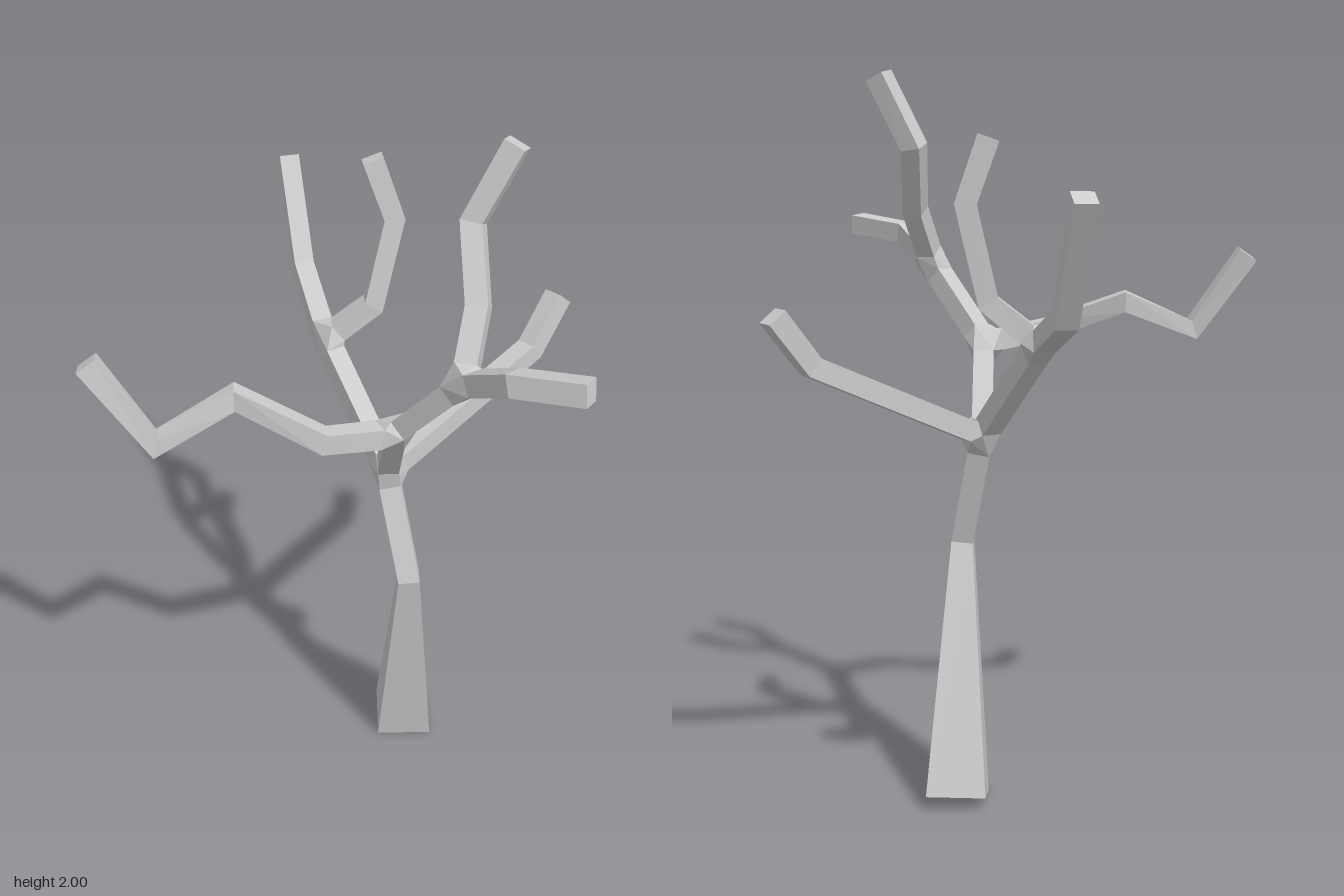
import * as THREE from 'three';
import { ConvexGeometry } from 'three/addons/geometries/ConvexGeometry.js';

const V = (p) => new THREE.Vector3(...p);
const material = new THREE.MeshStandardMaterial({ color: 0xcccccc, flatShading: true });
const JOINT_GAP = 0.045;
const R = 0.028;

// Forks of the tree
const forks = {
  trunkFork: [0.08, 1.01, 0.03],
  backFork: [0.07, 1.28, -0.275],
  frontFork: [-0.015, 1.25, 0.2],
  upperFork: [0.055, 1.47, 0.39],
};

// Limbs: start fork, bends, end fork, half widths (one value or one per point)
const limbs = [
  { name: 'trunk', path: [[0.18, 0.02, -0.01], [0.088, 0.7, 0.135]], to: 'trunkFork', radii: [0.081, 0.03, 0.03], side: [0.13, 0.04, 0.09] },
  { name: 'leftBranch', from: 'trunkFork', path: [[0.58, 1.225, 0], [0.685, 1.355, -0.02]] },
  { name: 'backBough', from: 'trunkFork', path: [], to: 'backFork' },
  { name: 'backUprightBranch', from: 'backFork', path: [[0.185, 1.385, -0.21], [0.245, 1.63, -0.203], [0.2, 1.79, -0.24]] },
  { name: 'backOuterBranch', from: 'backFork', path: [[0.165, 1.36, -0.555], [0.212, 1.635, -0.712]] },
  { name: 'frontBough', from: 'trunkFork', path: [], to: 'frontFork' },
  { name: 'rightBranch', from: 'frontFork', path: [[-0.21, 1.285, 0.18], [-0.36, 1.368, 0], [-0.57, 1.285, -0.03], [-0.685, 1.5, -0.13]] },
  { name: 'upperBough', from: 'frontFork', path: [], to: 'upperFork' },
  { name: 'frontOuterBranch', from: 'upperFork', path: [[0.06, 1.56, 0.57], [0.147, 1.587, 0.73]] },
  { name: 'topBranch', from: 'upperFork', path: [[0.14, 1.62, 0.32], [0.188, 1.79, 0.22], [0.272, 1.98, 0.263]] },
];

// Square sections carried along a bent path without twisting
function squareSections(points, radii, side) {
  const dirs = points.slice(1).map((p, i) => p.clone().sub(points[i]).normalize());
  const u = side.clone().projectOnPlane(dirs[0]).normalize();
  let last = dirs[0];
  return points.map((p, i) => {
    const t = dirs[Math.max(i - 1, 0)].clone().add(dirs[Math.min(i, dirs.length - 1)]).normalize();
    u.applyQuaternion(new THREE.Quaternion().setFromUnitVectors(last, t));
    last = t;
    const v = t.clone().cross(u);
    return [[1, 1], [-1, 1], [-1, -1], [1, -1]].map(([a, b]) =>
      p.clone().addScaledVector(u, a * radii[i]).addScaledVector(v, b * radii[i]));
  });
}

// Skin the sections, closing only the free ends
function limbGeometry(sections, capStart, capEnd) {
  const index = [];
  for (let s = 0; s < sections.length - 1; s++) {
    for (let i = 0; i < 4; i++) {
      const a = s * 4 + i, b = s * 4 + (i + 1) % 4;
      index.push(a, b, b + 4, a, b + 4, a + 4);
    }
  }
  const e = (sections.length - 1) * 4;
  if (capStart) index.push(0, 2, 1, 0, 3, 2);
  if (capEnd) index.push(e, e + 1, e + 2, e, e + 2, e + 3);
  const indexed = new THREE.BufferGeometry().setFromPoints(sections.flat());
  indexed.setIndex(index);
  const geometry = indexed.toNonIndexed();
  geometry.computeVertexNormals();
  return geometry;
}

export function createModel() {
  const tree = new THREE.Group();
  tree.name = 'bareTree';
  const add = (geometry, name) => {
    const mesh = new THREE.Mesh(geometry, material);
    mesh.name = name;
    tree.add(mesh);
  };
  const forkCorners = Object.fromEntries(Object.keys(forks).map((k) => [k, []]));

  // Limbs stop just short of each fork
  for (const { name, from, path, to, radii, side } of limbs) {
    const points = path.map(V);
    if (from) points.unshift(V(forks[from]));
    if (to) points.push(V(forks[to]));
    const n = points.length;
    const startDir = points[1].clone().sub(points[0]).normalize();
    const endDir = points[n - 1].clone().sub(points[n - 2]).normalize();
    if (from) points[0].addScaledVector(startDir, JOINT_GAP);
    if (to) points[n - 1].addScaledVector(endDir, -JOINT_GAP);
    const sections = squareSections(points, radii || points.map(() => R), V(side || [0, 1, 0]));
    add(limbGeometry(sections, !from, !to), name);
    if (from) forkCorners[from].push(...sections[0]);
    if (to) forkCorners[to].push(...sections[n - 1]);
  }

  // Faceted knots joining the limbs at each fork
  for (const [name, corners] of Object.entries(forkCorners)) add(new ConvexGeometry(corners), name);
  return tree;
}
